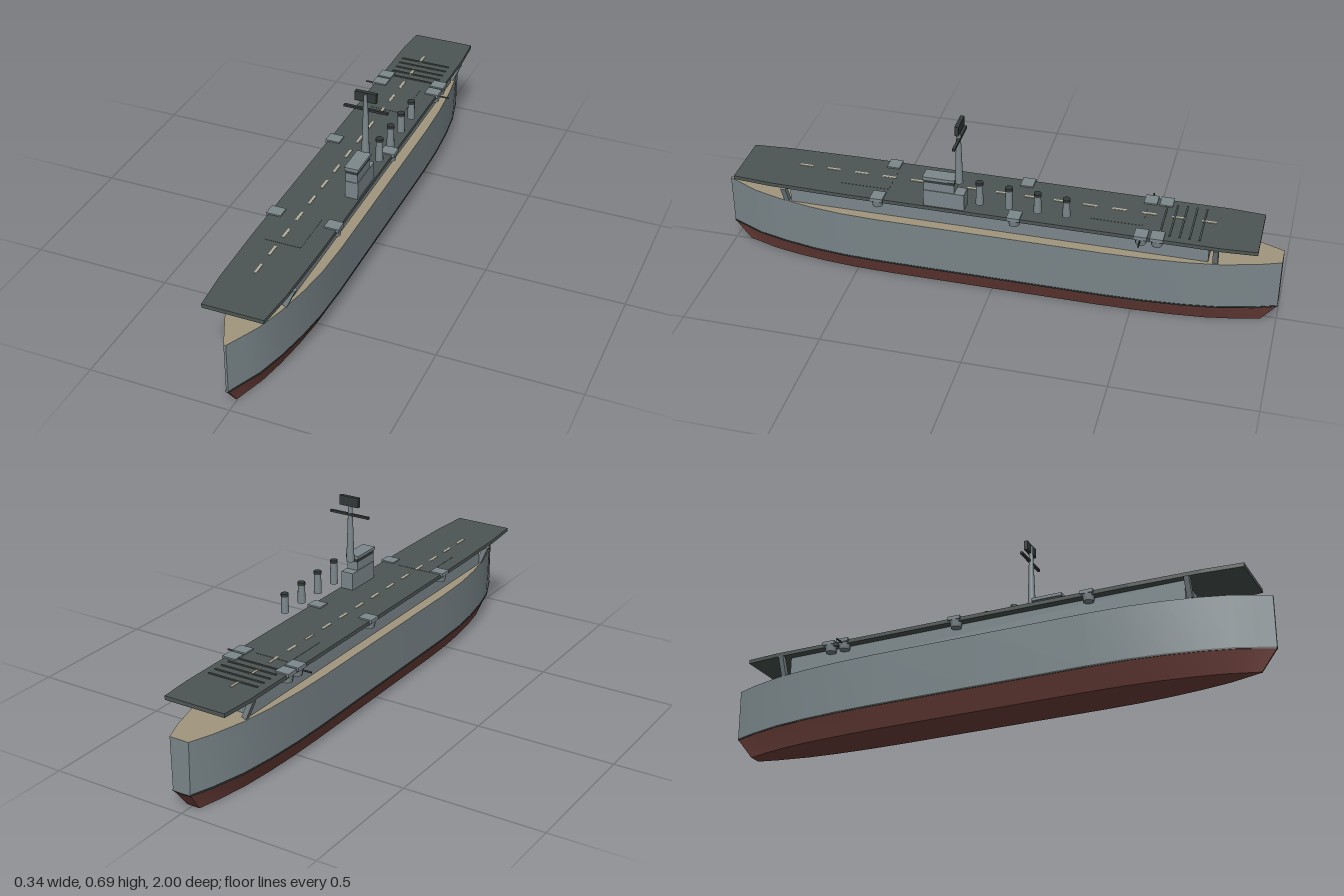
import * as THREE from 'three';
import { toCreasedNormals } from 'three/addons/utils/BufferGeometryUtils.js';

const mat = (name, color) => {
  const m = new THREE.MeshStandardMaterial({ color });
  m.name = name;
  return m;
};

export function createModel() {
  const root = new THREE.Group();
  root.name = 'aircraftCarrier';
  const ship = new THREE.Group();
  ship.name = 'ship';
  ship.position.x = -0.005;
  root.add(ship);

  const grey = mat('hull grey', 0x7c888c);
  const red = mat('bottom red', 0x74443e);
  const dark = mat('dark trim', 0x333a39);
  const deckMat = mat('flight deck', 0x4d5654);
  const tan = mat('wood deck', 0xa1977f);
  const line = mat('deck line', 0xb5b09c);

  const add = (name, geo, material, x = 0, y = 0, z = 0) => {
    const m = new THREE.Mesh(geo, material);
    m.name = name;
    m.position.set(x, y, z);
    ship.add(m);
    return m;
  };
  const box = (name, w, h, d, material, x, y, z) =>
    add(name, new THREE.BoxGeometry(w, h, d), material, x, y, z);

  // Plan of the hull: [z, half width], bow to stern
  const plan = [[1, 0.004], [0.94, 0.032], [0.88, 0.06], [0.78, 0.088], [0.66, 0.111], [0.54, 0.125],
    [0.4, 0.13], [0, 0.13], [-0.4, 0.13], [-0.54, 0.126], [-0.68, 0.115], [-0.8, 0.098],
    [-0.92, 0.066], [-1, 0.036]];
  const ring = (y, w, l, grow = 0) => {
    const side = plan.map(([z, h]) => [h * w + grow, y, z * l]);
    return [...side, ...side.slice().reverse().map(([x, yy, z]) => [-x, yy, z])];
  };

  // Outward-facing skin between stacked rings, lowest first
  function loft(rings, crease) {
    const n = rings[0].length, index = [];
    for (let r = 0; r < rings.length - 1; r++) {
      for (let i = 0; i < n; i++) {
        const a = r * n + i, b = r * n + (i + 1) % n;
        index.push(a, b, a + n, b, b + n, a + n);
      }
    }
    const g = new THREE.BufferGeometry();
    g.setAttribute('position', new THREE.Float32BufferAttribute(rings.flat(2), 3));
    g.setIndex(index);
    return toCreasedNormals(g, crease);
  }

  // Flat plate following a ring, facing up or down
  function cap(points, up) {
    const s = new THREE.Shape(points.map(([x, , z]) => new THREE.Vector2(x, up ? -z : z)));
    return new THREE.ShapeGeometry(s).rotateX(up ? -Math.PI / 2 : Math.PI / 2);
  }

  // Hull
  const keel = ring(0, 0.64, 0.945), water = ring(0.074, 0.925, 1), top = ring(0.26, 1, 1);
  add('hullBottom', loft([keel, water], 0.8), red);
  add('keelPlate', cap(keel, false), red);
  add('hullSides', loft([water, top], 0.8), grey);
  add('waterlineStripe', loft([ring(0.071, 0.92, 1), ring(0.071, 0.925, 1, 0.0015),
    ring(0.077, 0.927, 1, 0.0015), ring(0.077, 0.92, 1)], 0.8), dark);
  add('mainDeck', cap(top, true), tan, 0, 0.26, 0);

  // Hangar and the slanted struts at its ends
  box('hangar', 0.184, 0.072, 1.49, grey, 0, 0.295, -0.01);
  for (const s of [1, -1]) {
    for (const z of [0.75, -0.78]) {
      const strut = box('deckStrut', 0.018, 0.074, 0.018, grey, s * 0.102, 0.297, z);
      strut.rotation.z = -s * 0.4;
    }
  }

  // Flight deck
  const half = [[0.106, 0.94], [0.117, 0.8], [0.122, 0.55], [0.122, -0.8], [0.114, -0.92]];
  const outline = [...half, ...half.slice().reverse().map(([x, z]) => [-x, z])];
  const deckShape = new THREE.Shape(outline.map(([x, z]) => new THREE.Vector2(x, -z)));
  const deckGeo = new THREE.ExtrudeGeometry(deckShape, { depth: 0.014, bevelEnabled: false });
  add('flightDeck', deckGeo.rotateX(-Math.PI / 2), deckMat, 0, 0.329, 0);

  // Deck details: lifts, arrester wires, dashed centre line
  for (const z of [0.47, -0.43]) box('aircraftLift', 0.13, 0.003, 0.18, deckMat, -0.01, 0.3425, z);
  for (let i = 0; i < 5; i++) box('arresterWire', 0.19, 0.005, 0.006, deckMat, 0, 0.344, -0.585 - i * 0.034);
  for (let i = 0; i < 15; i++) box('centreDash', 0.009, 0.003, 0.05, line, -0.022, 0.3435, -0.738 + i * 0.1035);

  // Gun platforms along both edges
  for (const s of [1, -1]) {
    for (const z of [0.405, -0.085, -0.525, -0.58]) {
      box('gunPlatform', 0.052, 0.013, 0.046, grey, s * 0.104, 0.3415, z);
      add('gunTub', new THREE.CylinderGeometry(0.023, 0.019, 0.024, 8), grey, s * 0.108, 0.323, z);
    }
    const gun = add('gunBarrel', new THREE.CylinderGeometry(0.003, 0.003, 0.06, 8), dark, s * 0.135, 0.332, -0.525);
    gun.rotation.z = Math.PI / 2;
  }

  // Island
  const ix = 0.094;
  box('islandBase', 0.047, 0.064, 0.145, grey, ix, 0.374, 0.1625);
  box('bridge', 0.042, 0.034, 0.108, grey, ix, 0.422, 0.179);
  box('bridgeWindows', 0.043, 0.013, 0.109, dark, ix, 0.4435, 0.179);
  box('bridgeRoof', 0.051, 0.011, 0.114, grey, ix, 0.4555, 0.179);

  // Mast with yard and radar
  add('mast', new THREE.CylinderGeometry(0.0065, 0.0145, 0.237, 12), grey, ix, 0.5615, 0.112);
  box('yard', 0.158, 0.008, 0.01, dark, ix, 0.62, 0.108);
  box('radar', 0.077, 0.035, 0.014, dark, ix, 0.669, 0.108);

  // Funnels, each a little lower towards the stern
  [0.035, -0.068, -0.168, -0.268].forEach((z, i) => {
    const h = 0.078 - i * 0.006;
    add('funnel', new THREE.CylinderGeometry(0.012, 0.014, h, 12), grey, 0.114, 0.381 + h / 2, z);
    add('funnelCap', new THREE.CylinderGeometry(0.0135, 0.0135, 0.011, 12), dark, 0.114, 0.3855 + h, z);
  });
  return root;
}
